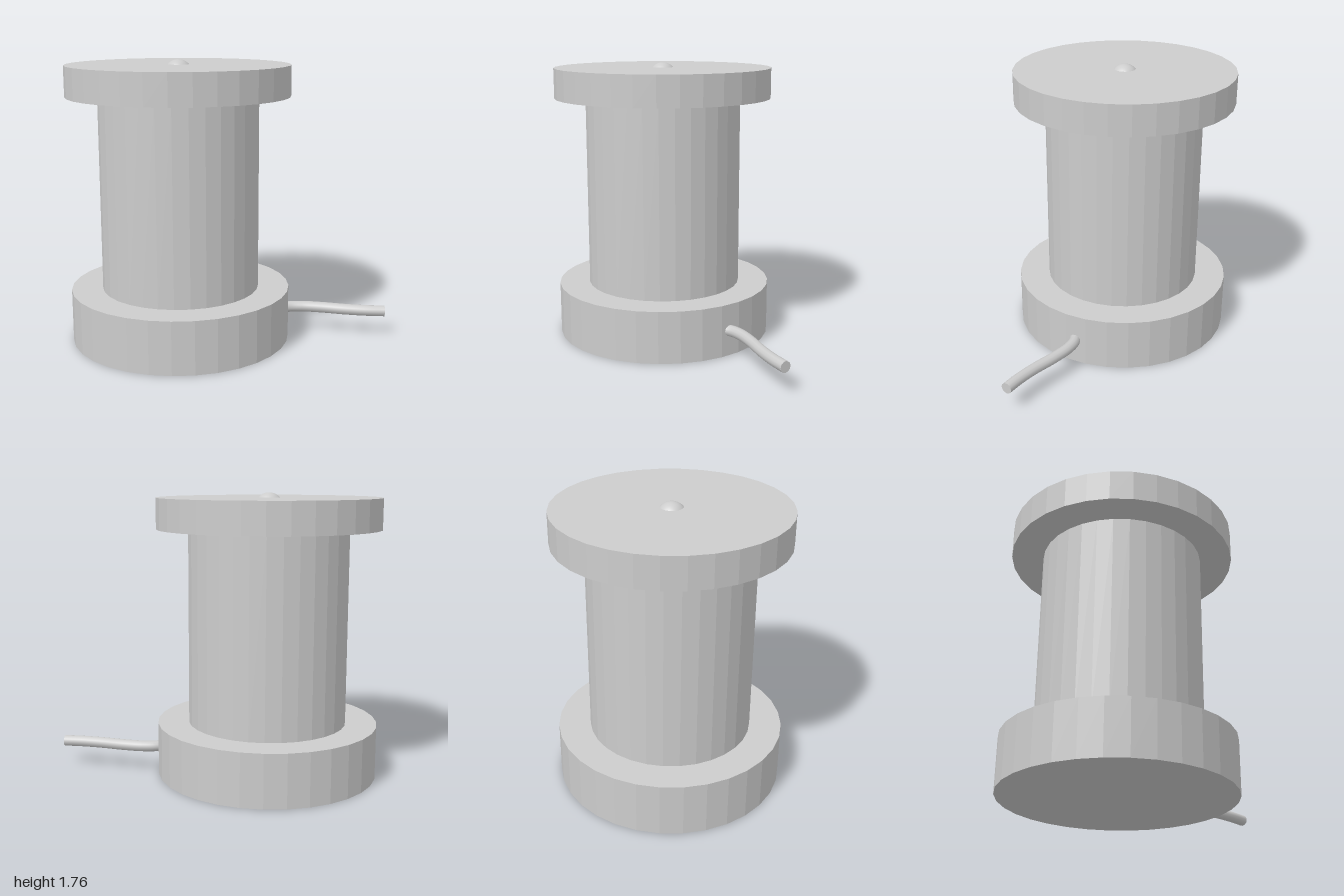
import * as THREE from 'three';

export function createModel() {
  const group = new THREE.Group();
  group.name = 'spoolWithCable';
  const grey = new THREE.MeshStandardMaterial({ color: 0xcccccc });
  grey.name = 'light grey';
  const flatGrey = grey;
  flatGrey.flatShading = false;
  const axisX = -0.31;

  const add = (name, geometry, x = 0, y = 0, z = 0) => {
    const mesh = new THREE.Mesh(geometry, grey);
    mesh.name = name;
    mesh.position.set(x, y, z);
    group.add(mesh);
    return mesh;
  };

  // Faceted drum: unshared vertices give each side a flat normal
  const drum = (name, radius, bottom, top) => {
    const geometry = new THREE.CylinderGeometry(radius, radius, top - bottom, 32).toNonIndexed();
    geometry.computeVertexNormals();
    return add(name, geometry, axisX, (bottom + top) / 2);
  };
  drum('base', 0.69, 0, 0.33);
  drum('column', 0.495, 0.33, 1.54);
  drum('topFlange', 0.69, 1.54, 1.73);

  // Shallow button, the tip of a sphere sunk into the top
  const r = 0.09;
  const halfAngle = Math.acos((r - 0.03) / r);
  add('topButton', new THREE.SphereGeometry(r, 24, 8, 0, Math.PI * 2, 0, halfAngle), axisX, 1.76 - r);

  // Cable leaving the base sideways with a gentle bend
  const cableRadius = 0.035;
  const path = new THREE.CatmullRomCurve3(
    [[0.29, 0], [0.38, -0.065], [0.47, -0.078], [0.6, -0.061], [0.75, -0.027], [0.88, -0.007], [1, 0]]
      .map(([x, z]) => new THREE.Vector3(x, 0.16, z))
  );
  add('cable', new THREE.TubeGeometry(path, 40, cableRadius, 12));
  add('cableEnd', new THREE.CircleGeometry(cableRadius, 12), 1, 0.16, 0).rotation.y = Math.PI / 2;

  return group;
}
